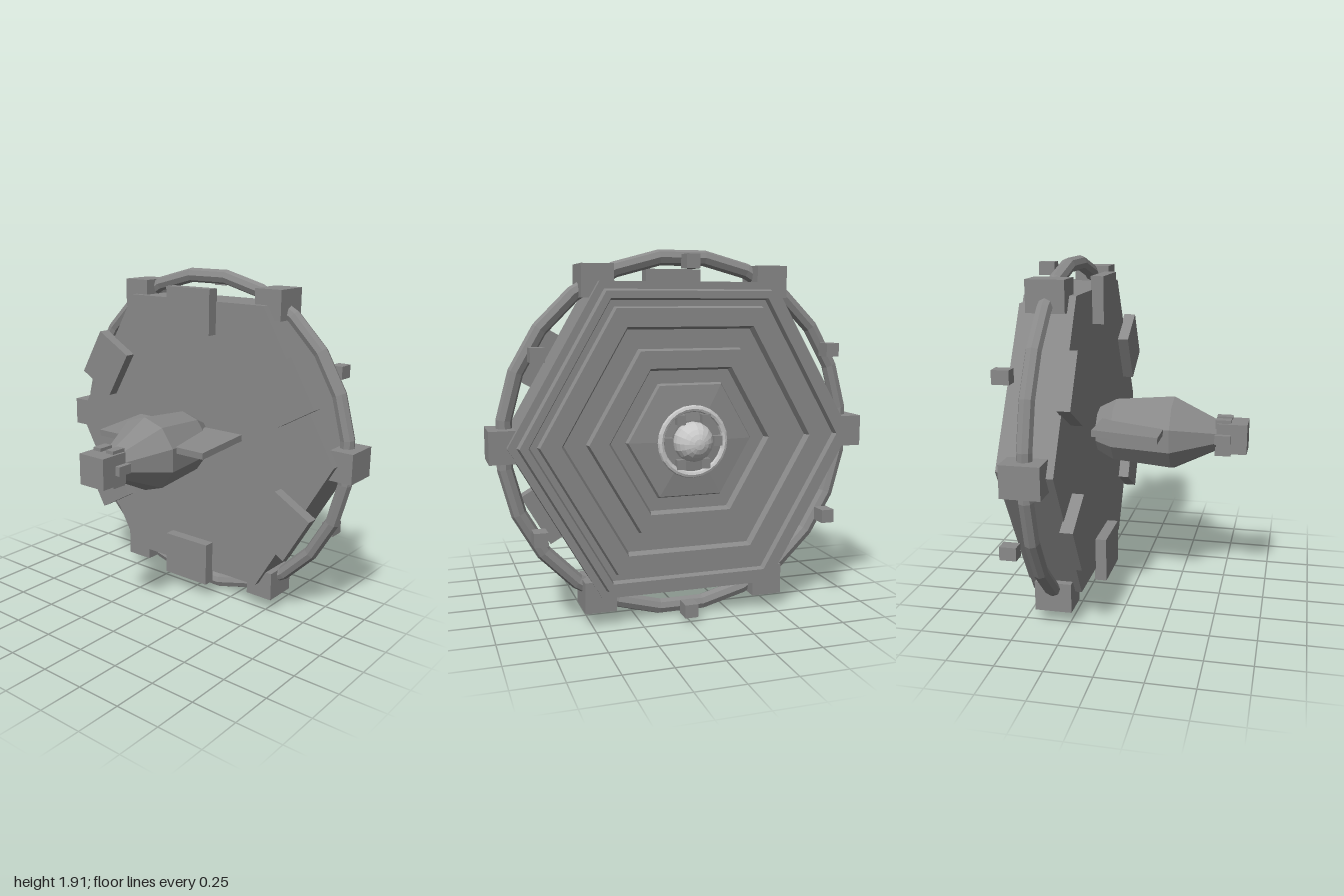
import * as THREE from 'three';

export function createModel() {
  const model = new THREE.Group();
  model.name = 'spaceStation';
  const body = new THREE.Group();
  body.name = 'stationBody';
  body.position.y = 0.957;
  model.add(body);

  const material = (name, color) => {
    const m = new THREE.MeshStandardMaterial({ color });
    m.name = name;
    m.flatShading = true;
    return m;
  };
  const grey = material('hullGrey', 0x8a8a8a);
  const pale = material('paleGrey', 0xc8c8c8);

  const add = (name, geometry, mat = grey) => {
    const mesh = new THREE.Mesh(geometry, mat);
    mesh.name = name;
    body.add(mesh);
    return mesh;
  };

  // Turned part along the x axis; profile is [radius, x] from back to front
  const turned = (name, profile, sides, start = 0) => {
    const g = new THREE.LatheGeometry(profile.map(([r, x]) => new THREE.Vector2(r, x)), sides, start);
    g.rotateZ(-Math.PI / 2);
    return add(name, g);
  };

  // Six boxes around the x axis; size is [x, radial, tangential]
  const sixBoxes = (name, x, radius, size, startDeg, turn = false) => {
    for (let i = 0; i < 6; i++) {
      const a = THREE.MathUtils.degToRad(startDeg + i * 60);
      const box = add(name + (i + 1), new THREE.BoxGeometry(...size));
      box.position.set(x, Math.sin(a) * radius, Math.cos(a) * radius);
      if (turn) box.rotation.x = Math.PI / 2 - a;
    }
  };

  // Hexagonal hull with raised concentric ridges and a shallow centre cone
  turned('hexagonHull', [
    [0, 0.197], [0.915, 0.197], [0.915, 0.466],
    [0.872, 0.466], [0.862, 0.5], [0.82, 0.5], [0.81, 0.47],
    [0.775, 0.47], [0.765, 0.5], [0.66, 0.5], [0.645, 0.465],
    [0.535, 0.465], [0.525, 0.5], [0.425, 0.5], [0.41, 0.465],
    [0.335, 0.465], [0.325, 0.485], [0.12, 0.505], [0, 0.505],
  ], 6);

  // Outer ring with a hub block at each hull corner
  const ring = new THREE.TorusGeometry(0.921, 0.04, 8, 24);
  ring.rotateZ(Math.PI / 24);
  ring.rotateY(Math.PI / 2);
  add('outerRing', ring).position.x = 0.333;
  sixBoxes('hubBlock', 0.333, 0.918, [0.2, 0.163, 0.163], 0);

  // Small beacons in front and plates on the back, between the hubs
  sixBoxes('beacon', 0.477, 0.89, [0.088, 0.07, 0.07], 30);
  sixBoxes('backPlate', 0.169, 0.738, [0.068, 0.25, 0.3], 30, true);

  // Front emitter: ring, lugs and dome
  const collar = new THREE.TorusGeometry(0.168, 0.017, 8, 24);
  collar.rotateY(Math.PI / 2);
  add('emitterRing', collar, pale).position.x = 0.522;
  sixBoxes('emitterLug', 0.517, 0.13, [0.045, 0.05, 0.045], 0);
  const dome = new THREE.SphereGeometry(0.102, 16, 12);
  dome.rotateZ(-Math.PI / 2);
  add('emitterDome', dome, pale).position.x = 0.524;

  // Rear pod with tail block and clamps
  turned('rearPod', [
    [0, -0.47], [0.085, -0.47], [0.206, -0.225], [0.177, 0.1], [0.125, 0.2],
  ], 10, Math.PI / 2);
  add('tailBlock', new THREE.BoxGeometry(0.165, 0.165, 0.165)).position.x = -0.55;
  sixBoxes('tailClamp', -0.502, 0.087, [0.085, 0.05, 0.05], 0);

  // Slightly tilted side fins on the pod
  for (const side of [-1, 1]) {
    const fin = add(side > 0 ? 'frontFin' : 'backFin', new THREE.BoxGeometry(0.35, 0.036, 0.25));
    fin.position.set(-0.018, 0.062, side * 0.243);
    fin.rotation.z = 0.07;
  }

  return model;
}
